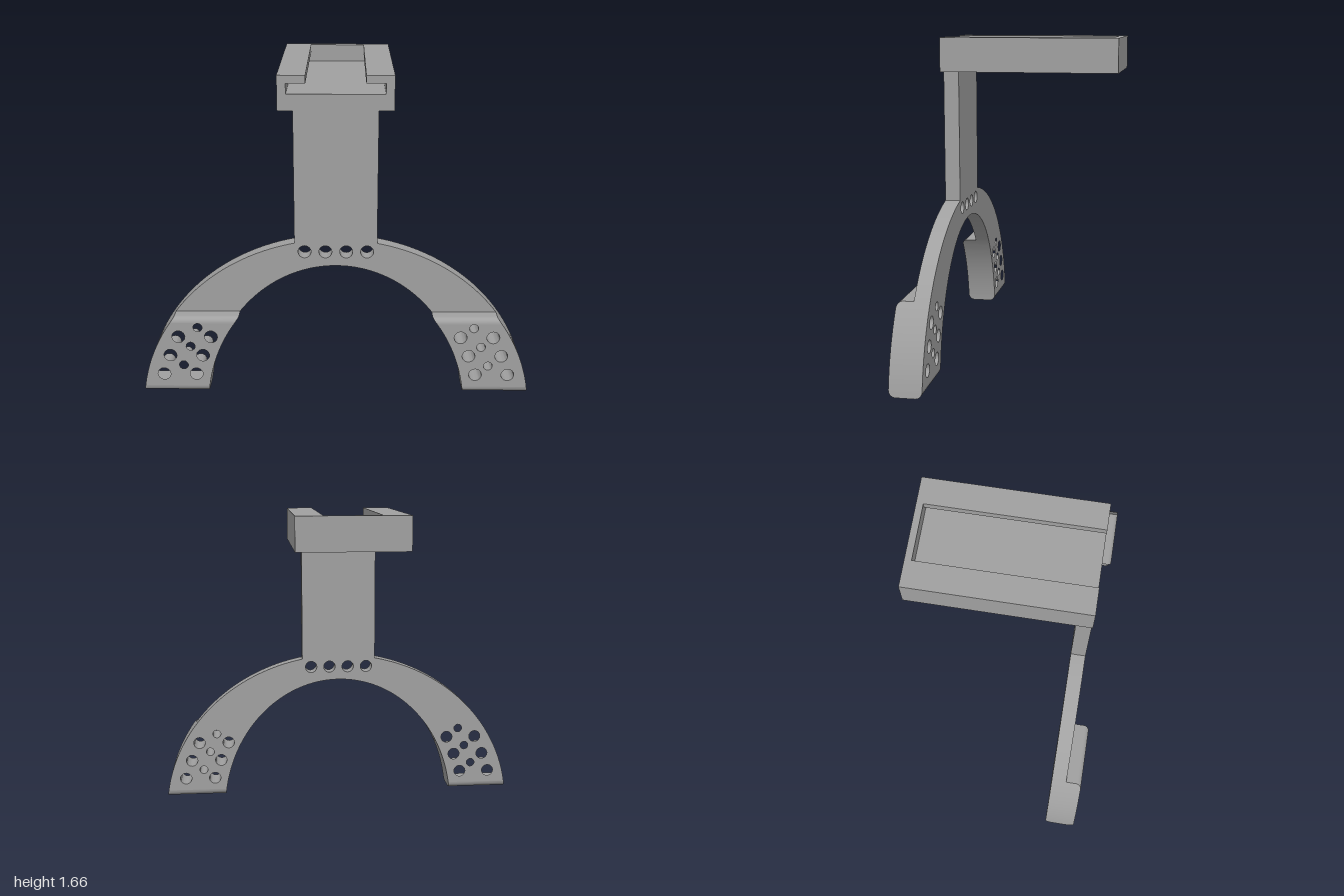
import * as THREE from 'three';
import { toCreasedNormals } from 'three/addons/utils/BufferGeometryUtils.js';

const Z_BACK = 0.335, Z_PLATE = 0.415, Z_PAD = 0.5;
const PAD_TOP = 0.4225, R_TOP = 0.03, R_BOTTOM = 0.035;
const CY = -0.095; // shared centre height of both arch ellipses
const outerX = y => 1.0055 * Math.sqrt(1 - ((y - CY) / 0.916) ** 2);
const innerX = y => 0.668 * Math.sqrt(1 - ((y - CY) / 0.774) ** 2);
const outerY = x => CY + 0.916 * Math.sqrt(1 - (x / 1.0055) ** 2);

function addHole(shape, x, y, r) {
  const hole = new THREE.Path();
  hole.absarc(x, y, r, 0, Math.PI * 2, true);
  shape.holes.push(hole);
}

function extrude(shape, z0, z1) {
  const geo = new THREE.ExtrudeGeometry(shape, { depth: z1 - z0, bevelEnabled: false, curveSegments: 14 });
  geo.translate(0, 0, z0);
  return toCreasedNormals(geo, 0.5);
}

// Stack of rectangles [y, x0, x1, z0, z1], ordered upwards, skinned and capped
function loft(rows) {
  const pos = [], index = [];
  for (const [y, x0, x1, z0, z1] of rows) pos.push(x0, y, z1, x1, y, z1, x1, y, z0, x0, y, z0);
  for (let i = 0; i < rows.length - 1; i++) {
    for (let k = 0; k < 4; k++) {
      const a = i * 4 + k, b = i * 4 + (k + 1) % 4;
      index.push(a, b, b + 4, a, b + 4, a + 4);
    }
  }
  const t = (rows.length - 1) * 4;
  index.push(0, 2, 1, 0, 3, 2, t, t + 1, t + 2, t, t + 2, t + 3);
  const geo = new THREE.BufferGeometry();
  geo.setAttribute('position', new THREE.Float32BufferAttribute(pos, 3));
  geo.setIndex(index);
  return toCreasedNormals(geo, 0.5);
}

// Upper arch and upright as a single plate
function archShape() {
  const pts = [], n = 40, stem = 0.21;
  const a0 = Math.acos(outerX(PAD_TOP) / 1.0055), a1 = Math.acos(stem / 1.0055);
  for (let i = 0; i <= n; i++) {
    const x = 1.0055 * Math.cos(a0 + (a1 - a0) * i / n);
    pts.push([x, outerY(x)]);
  }
  pts.push([stem, 1.485]);
  const mirrored = pts.map(([x, y]) => [-x, y]).reverse();
  const inner = [], b0 = Math.acos(innerX(PAD_TOP) / 0.668);
  for (let i = 0; i <= 2 * n; i++) {
    const a = Math.PI - b0 - (Math.PI - 2 * b0) * i / (2 * n);
    inner.push([0.668 * Math.cos(a), CY + 0.774 * Math.sin(a)]);
  }
  const shape = new THREE.Shape([...pts, ...mirrored, ...inner].map(p => new THREE.Vector2(...p)));
  for (const x of [-0.159, -0.053, 0.053, 0.159]) addHole(shape, x, 0.754, 0.033);
  return shape;
}

// Perforated middle section of a foot pad
function padShape(s) {
  const y0 = R_BOTTOM, y1 = PAD_TOP - R_TOP, n = 16, out = [], inn = [];
  for (let i = 0; i <= n; i++) {
    const y = y0 + (y1 - y0) * i / n;
    out.push(new THREE.Vector2(s * outerX(y), y));
    inn.unshift(new THREE.Vector2(s * innerX(y), y));
  }
  const shape = new THREE.Shape([...out, ...inn]);
  for (const [x, y] of [[0.81, 0.316], [0.642, 0.316], [0.856, 0.211], [0.687, 0.211], [0.893, 0.104], [0.725, 0.104]])
    addHole(shape, s * x, y, 0.033);
  for (const [x, y] of [[0.709, 0.368], [0.749, 0.262], [0.789, 0.155]]) addHole(shape, s * x, y, 0.023);
  return shape;
}

// Rounded end strips of a pad
function padEnd(s, top) {
  const rows = [], n = 8;
  for (let i = 0; i <= n; i++) {
    const a = i / n * Math.PI / 2;
    const r = top ? R_TOP : R_BOTTOM;
    const y = top ? PAD_TOP - r + r * Math.sin(a) : r - r * Math.cos(a);
    const inset = top ? r * (1 - Math.cos(a)) : r * (1 - Math.sin(a));
    const xs = [s * innerX(y), s * outerX(y)].sort((p, q) => p - q);
    rows.push([y, xs[0], xs[1], Z_BACK + (top ? 0 : inset), Z_PAD - inset]);
  }
  return loft(rows);
}

export function createModel() {
  const model = new THREE.Group();
  const grey = new THREE.MeshStandardMaterial({ color: 0xa0a0a0 });
  grey.name = 'grey';
  const add = (name, geo, parent = model) => {
    const mesh = new THREE.Mesh(geo, grey);
    mesh.name = name;
    parent.add(mesh);
    return mesh;
  };

  add('archAndUpright', extrude(archShape(), Z_BACK, Z_PLATE));

  for (const s of [1, -1]) {
    const foot = new THREE.Group();
    foot.name = s > 0 ? 'leftFoot' : 'rightFoot';
    add('pad', extrude(padShape(s), Z_BACK, Z_PAD), foot);
    add('padTop', padEnd(s, true), foot);
    add('padBottom', padEnd(s, false), foot);
    model.add(foot);
  }

  // Tray with a T-slot open to the front
  const half = [[0.286, 1.485], [0.286, 1.66], [0.147, 1.66], [0.147, 1.62], [0.243, 1.62], [0.243, 1.568]];
  const profile = [...half, ...half.map(([x, y]) => [-x, y]).reverse()];
  const tray = new THREE.Group();
  tray.name = 'tray';
  add('slottedRail', extrude(new THREE.Shape(profile.map(p => new THREE.Vector2(...p))), -0.465, Z_PLATE), tray);
  add('backWall', new THREE.BoxGeometry(0.572, 0.175, 0.035), tray).position.set(0, 1.5725, -0.4825);
  model.add(tray);

  return model;
}
